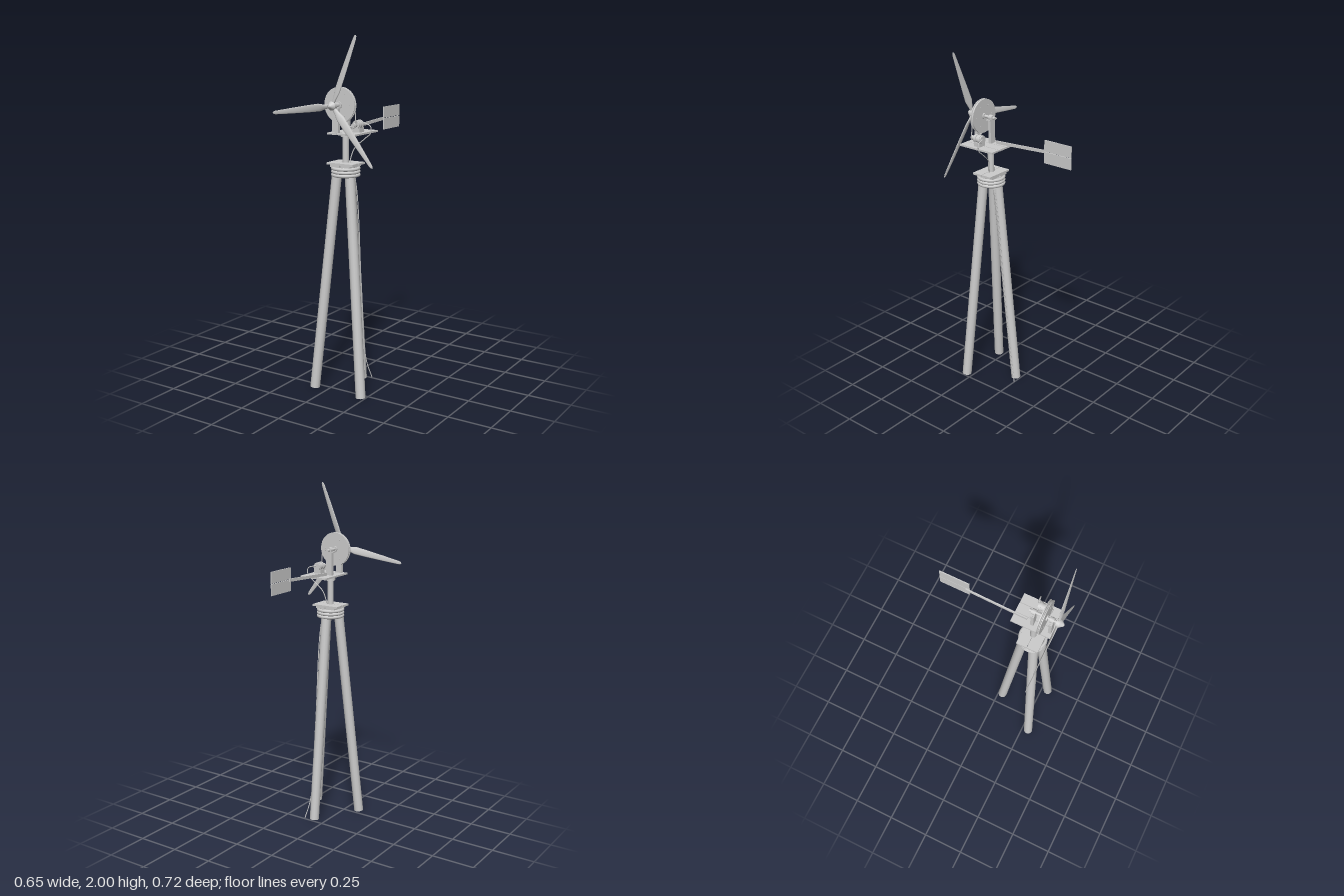
import * as THREE from 'three';

const CX = 0.071, CZ = 0.2;   // tower axis
const AXLE = 1.625;           // rotor shaft height

export function createModel() {
  const root = new THREE.Group();
  root.name = 'windTurbine';
  const grey = new THREE.MeshStandardMaterial({ color: 0xcccccc });
  grey.name = 'light grey';

  const add = (name, geo, parent = root) => {
    const m = new THREE.Mesh(geo, grey);
    m.name = name;
    parent.add(m);
    return m;
  };
  // box given by its limits
  const box = (name, x0, x1, y0, y1, z0, z1) => {
    const m = add(name, new THREE.BoxGeometry(x1 - x0, y1 - y0, z1 - z0));
    m.position.set((x0 + x1) / 2, (y0 + y1) / 2, (z0 + z1) / 2);
    return m;
  };
  // cylinder between two points
  const rod = (name, a, b, r, sides = 16, r2 = r) => {
    const p = new THREE.Vector3(...a), q = new THREE.Vector3(...b);
    const m = add(name, new THREE.CylinderGeometry(r2, r, p.distanceTo(q), sides));
    m.position.copy(p).lerp(q, 0.5);
    m.quaternion.setFromUnitVectors(new THREE.Vector3(0, 1, 0), q.sub(p).normalize());
    return m;
  };
  const tube = (name, pts, r, closed = false, steps = 60) =>
    add(name, new THREE.TubeGeometry(new THREE.CatmullRomCurve3(
      pts.map(p => new THREE.Vector3(...p)), closed), steps, r, 6, closed));

  // Tripod legs
  rod('backLeg', [CX, 0.003, 0.027], [CX, 1.285, 0.158], 0.028, 12);
  for (const s of [-1, 1])
    rod('frontLeg', [CX + s * 0.154, 0.003, 0.29], [CX + s * 0.038, 1.285, 0.222], 0.028, 12);

  // Rope bands around the leg tops
  for (let i = 0; i < 3; i++) {
    const ring = add('ropeBand', new THREE.TorusGeometry(0.072, 0.0095, 8, 32));
    ring.rotation.x = Math.PI / 2;
    ring.position.set(CX, 1.24 + i * 0.018, CZ);
  }

  // Tower top boards
  for (const s of [-1, 1])
    box('lowerBoard', CX + s * 0.033 - 0.029, CX + s * 0.033 + 0.029, 1.285, 1.297, 0.14, 0.26);
  box('backTopBoard', -0.013, 0.155, 1.297, 1.308, 0.137, 0.199);
  box('frontTopBoard', -0.013, 0.155, 1.297, 1.308, 0.202, 0.264);

  // Mast
  rod('mast', [CX, 1.3, CZ], [CX, 1.47, CZ], 0.018, 20);
  rod('mastCollar', [CX, 1.448, CZ], [CX, 1.47, CZ], 0.027, 20);

  // Machine deck planks
  for (let i = 0; i < 3; i++)
    box('deckPlank', 0.027 + i * 0.0595, 0.083 + i * 0.0595, 1.47, 1.48, 0.079, 0.314);

  // Bearing posts
  for (const z of [0.191, 0.294]) {
    box('bearingPost', CX - 0.019, CX + 0.019, 1.48, 1.616, z - 0.009, z + 0.009);
    box('bearingFoot', CX - 0.031, CX + 0.031, 1.612, 1.619, z - 0.012, z + 0.012);
    rod('bearing', [CX, AXLE, z - 0.012], [CX, AXLE, z + 0.012], 0.016);
    for (const s of [-1, 1])
      rod('bearingBolt', [CX + s * 0.024, 1.615, z], [CX + s * 0.024, 1.623, z], 0.004, 6);
  }
  rod('shaft', [CX, AXLE, 0.165], [CX, AXLE, 0.335], 0.0085);

  // Grooved drive wheel
  const wheelProfile = [[0, -0.01], [0.096, -0.01], [0.096, -0.005], [0.088, -0.003],
    [0.088, 0.003], [0.096, 0.005], [0.096, 0.01], [0, 0.01]].map(p => new THREE.Vector2(...p));
  const wheelGeo = new THREE.LatheGeometry(wheelProfile, 48).toNonIndexed();
  wheelGeo.computeVertexNormals();
  const wheel = add('driveWheel', wheelGeo);
  wheel.rotation.x = Math.PI / 2;
  wheel.position.set(CX, AXLE, 0.253);
  rod('wheelBoss', [CX, AXLE, 0.236], [CX, AXLE, 0.27], 0.018);
  for (let i = 0; i < 6; i++) {
    const a = i * Math.PI / 3, x = CX + 0.065 * Math.cos(a), y = AXLE + 0.065 * Math.sin(a);
    rod('wheelBolt', [x, y, 0.24], [x, y, 0.266], 0.004, 6);
  }

  // Generator on its cradle
  const MX = 0.157, MY = 1.52;
  rod('generator', [MX, MY, 0.182], [MX, MY, 0.236], 0.022, 20);
  rod('generatorNose', [MX, MY, 0.236], [MX, MY, 0.246], 0.012, 16);
  rod('generatorPulley', [MX, MY, 0.244], [MX, MY, 0.262], 0.012, 16);
  box('generatorCradle', MX - 0.022, MX + 0.022, 1.48, 1.505, 0.188, 0.23);
  for (const z of [0.195, 0.222])
    rod('generatorStrap', [MX, MY, z - 0.005], [MX, MY, z + 0.005], 0.026, 16);

  // Drive belt around both pulleys
  const dx = MX - CX, dy = MY - AXLE;
  const phi = Math.atan2(dy, dx), beta = Math.acos((0.091 - 0.013) / Math.hypot(dx, dy));
  const belt = [];
  const arc = (x, y, r, a0, a1, n) => {
    for (let i = 0; i <= n; i++) {
      const a = a0 + (a1 - a0) * i / n;
      belt.push([x + r * Math.cos(a), y + r * Math.sin(a), 0.253]);
    }
  };
  arc(CX, AXLE, 0.091, phi + beta, phi - beta + 2 * Math.PI, 24);
  arc(MX, MY, 0.013, phi - beta, phi + beta, 6);
  tube('driveBelt', belt, 0.003, true, 120);

  // Rotor hub and nose cone
  rod('hub', [CX, AXLE, 0.32], [CX, AXLE, 0.338], 0.024, 20);
  rod('noseCone', [CX, AXLE, 0.338], [CX, AXLE, 0.361], 0.024, 20, 0.006);

  // Twisted tapering blade: radius, chord, thickness, twist
  const sections = [[0.012, 0.018, 0.012, 0.35], [0.04, 0.024, 0.011, 0.35], [0.085, 0.044, 0.009, 0.3],
    [0.16, 0.04, 0.007, 0.22], [0.28, 0.03, 0.005, 0.13], [0.38, 0.02, 0.004, 0.07],
    [0.394, 0.014, 0.003, 0.07], [0.4, 0.001, 0.001, 0.07]];
  const N = 10, pos = [], idx = [];
  sections.forEach(([r, chord, thick, twist], i) => {
    for (let j = 0; j < N; j++) {
      const a = j / N * Math.PI * 2;
      const u = Math.cos(a) * chord / 2, v = Math.sin(a) * thick / 2;
      pos.push(u * Math.cos(twist) - v * Math.sin(twist), r, u * Math.sin(twist) + v * Math.cos(twist));
      if (i < sections.length - 1) {
        const p = i * N + j, q = i * N + (j + 1) % N;
        idx.push(p, p + N, q, q, p + N, q + N);
      }
    }
  });
  const bladeGeo = new THREE.BufferGeometry();
  bladeGeo.setAttribute('position', new THREE.Float32BufferAttribute(pos, 3));
  bladeGeo.setIndex(idx);
  bladeGeo.computeVertexNormals();
  for (let i = 0; i < 3; i++) {
    const blade = add('blade', bladeGeo);
    blade.position.set(CX, AXLE, 0.33);
    blade.rotation.z = THREE.MathUtils.degToRad(68.5 - 90 + i * 120);
  }

  // Tail boom and vane
  const boom = add('tailBoom', new THREE.BoxGeometry(0.008, 0.017, 0.361));
  boom.position.set(CX + 0.001, 1.5, -0.025);
  boom.rotation.x = 0.055;
  box('lowerVaneBoard', 0.077, 0.083, 1.447, 1.511, -0.3625, -0.186);
  box('upperVaneBoard', 0.077, 0.083, 1.514, 1.578, -0.3625, -0.186);

  // Power cable from the generator down the back leg
  tube('powerCable', [[0.165, 1.525, 0.184], [0.172, 1.525, 0.174], [0.21, 1.51, 0.17], [0.208, 1.47, 0.168],
    [0.18, 1.445, 0.17], [0.115, 1.385, 0.18], [0.1, 1.34, 0.19], [0.092, 1.3, 0.195]], 0.003);
  tube('legCable', [[0.092, 1.3, 0.195], [0.102, 1.2, 0.15], [0.102, 0.6, 0.088],
    [0.103, 0.13, 0.037], [0.122, 0.004, 0.0]], 0.003);

  return root;
}
